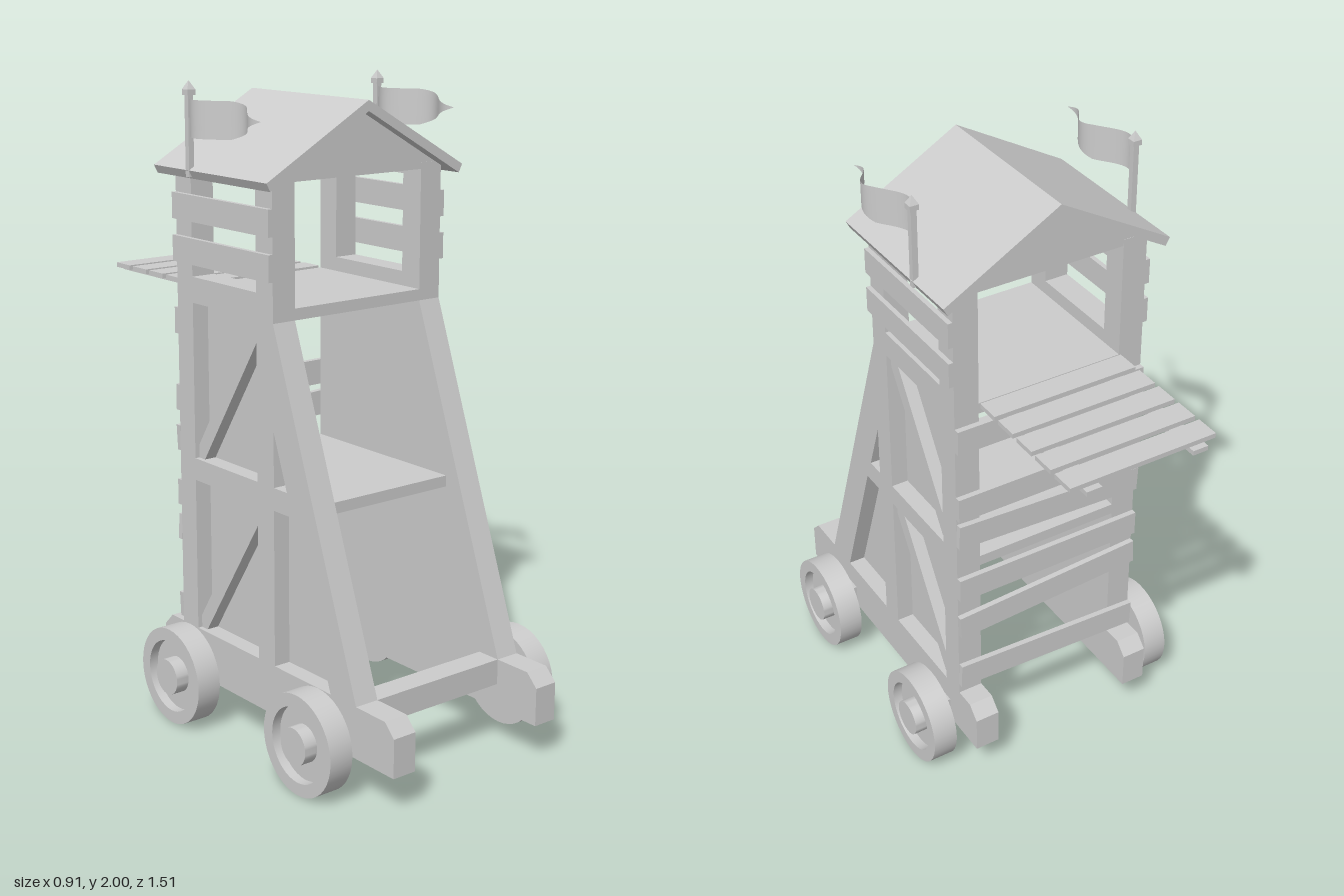
import * as THREE from 'three';
import { toCreasedNormals } from 'three/addons/utils/BufferGeometryUtils.js';

export function createModel() {
  const root = new THREE.Group();
  const mat = new THREE.MeshStandardMaterial({ color: 0xcccccc });
  const thinMat = new THREE.MeshStandardMaterial({ color: 0xcccccc, side: THREE.DoubleSide });

  const add = (name, geo, material = mat) => {
    const mesh = new THREE.Mesh(geo, material);
    mesh.name = name;
    root.add(mesh);
    return mesh;
  };
  // Box given by its limits on each axis
  const box = (name, x0, x1, y0, y1, z0, z1) => {
    const mesh = add(name, new THREE.BoxGeometry(x1 - x0, y1 - y0, z1 - z0));
    mesh.position.set((x0 + x1) / 2, (y0 + y1) / 2, (z0 + z1) / 2);
    return mesh;
  };
  // Outline in (z, y), extruded along x between |x| = a and b on side s;
  // reversed so that outlines and holes run counter-clockwise
  const toPoints = (pts) => pts.map(([z, y]) => new THREE.Vector2(-z, y)).reverse();
  const sidePlate = (name, s, a, b, outline, holes = []) => {
    const shape = new THREE.Shape(toPoints(outline));
    holes.forEach((h) => shape.holes.push(new THREE.Path(toPoints(h))));
    const geo = new THREE.ExtrudeGeometry(shape, { depth: b - a, bevelEnabled: false });
    geo.rotateY(Math.PI / 2);
    geo.translate(s > 0 ? a : -b, 0, 0);
    return add(name, geo);
  };
  // Outline in (x, y), extruded along z
  const crossPlate = (name, z0, z1, outline) => {
    const shape = new THREE.Shape(outline.map(([x, y]) => new THREE.Vector2(x, y)));
    const geo = new THREE.ExtrudeGeometry(shape, { depth: z1 - z0, bevelEnabled: false });
    geo.translate(0, 0, z0);
    return add(name, geo);
  };
  const rect = (z0, z1, y0, y1) => [[z0, y0], [z1, y0], [z1, y1], [z0, y1]];

  // Side wall outline and the lookout's side opening
  const wallOutline = (y) => [
    [-0.27, y], [0.59 + (0.28 - y) * 0.362, y], [0.21, 1.33], [0.21, 1.75], [-0.27, 1.75],
  ];
  const lookoutOpening = rect(-0.19, 0.13, 1.41, 1.71);

  // Wheel profile (radius, distance from inner face): rim, recessed disc, hub
  const wheelProfile = [
    [0, 0], [0.155, 0], [0.155, 0.08], [0.115, 0.08], [0.115, 0.05],
    [0.057, 0.05], [0.057, 0.093], [0, 0.093],
  ].map(([r, d]) => new THREE.Vector2(r, d));

  for (const s of [-1, 1]) {
    const sideBox = (name, a, b, ...rest) =>
      box(name, Math.min(s * a, s * b), Math.max(s * a, s * b), ...rest);

    // Base rail with chamfered ends
    sidePlate('baseRail', s, 0.24, 0.32, [
      [0.755, 0.12], [0.755, 0.24], [0.715, 0.28], [-0.335, 0.28], [-0.375, 0.24], [-0.375, 0.12],
    ]);

    // Inner wall, and the timber frame in front of it
    sidePlate('sidePanel', s, 0.24, 0.265, wallOutline(0.28), [lookoutOpening]);
    sidePlate('sideFrame', s, 0.265, 0.32, wallOutline(0.27), [
      rect(-0.19, 0.13, 0.28, 0.77),
      rect(-0.19, 0.13, 0.84, 1.33),
      lookoutOpening,
      [[0.21, 0.28], [0.475, 0.28], [0.3, 0.77], [0.21, 0.77]],
      [[0.21, 0.84], [0.272, 0.84], [0.21, 1.01]],
    ]);

    // Diagonal braces
    for (const y of [0.28, 0.84]) {
      sidePlate('brace', s, 0.25, 0.305, [
        [0.13, y + 0.49], [0.1, y + 0.49], [-0.19, y + 0.04],
        [-0.19, y], [-0.16, y], [0.13, y + 0.445],
      ]);
    }

    // Guard slats on the lookout
    for (const y of [1.45, 1.58]) sideBox('guardSlat', 0.32, 0.335, y, y + 0.08, -0.27, 0.21);

    // Axle stubs and wheels
    for (const z of [0.473, -0.17]) {
      sideBox('axle', 0.3, 0.38, 0.12, 0.2, z - 0.04, z + 0.04);
      const geo = toCreasedNormals(new THREE.LatheGeometry(wheelProfile, 40), 0.6);
      geo.rotateZ(-Math.PI / 2);
      const wheel = add('wheel', geo);
      wheel.position.set(s * 0.364, 0.155, z);
      wheel.rotation.y = s > 0 ? 0 : Math.PI;
    }

    // Bearers under the rear deck
    sideBox('deckBearer', 0.15, 0.2, 1.34, 1.355, -0.76, -0.25);

    // Flag pole with pointed finial
    box('flagPole', s * 0.36 - 0.009, s * 0.36 + 0.009, 1.72, 1.965, -0.144, -0.126);
    const finialProfile = [[0, 0], [0.02, 0], [0.02, 0.016], [0, 0.042]]
      .map(([r, y]) => new THREE.Vector2(r, y));
    const finial = add('finial', toCreasedNormals(new THREE.LatheGeometry(finialProfile, 4, Math.PI / 4), 0.3));
    finial.position.set(s * 0.36, 1.958, -0.135);

    // Waving pennant that tapers to a point
    const flagGeo = new THREE.PlaneGeometry(1, 1, 40, 4);
    const p = flagGeo.attributes.position;
    for (let i = 0; i < p.count; i++) {
      const u = p.getX(i) + 0.5, v = p.getY(i) + 0.5;
      const z = -0.13 + 0.38 * u;
      const t = Math.max(0, (z - 0.04) / 0.21);
      const top = 1.95 - 0.04 * t ** 1.2;
      const bottom = 1.84 + 0.07 * t;
      const wave = -0.034 * Math.sin((2 * Math.PI * (z + 0.13)) / 0.28);
      p.setXYZ(i, s * 0.36 + wave, bottom + (top - bottom) * v, z);
    }
    flagGeo.computeVertexNormals();
    add('flag', flagGeo, thinMat);
  }

  // Front cross beam and floors
  box('crossBeam', -0.24, 0.24, 0.2, 0.28, 0.51, 0.59);
  box('middleFloor', -0.24, 0.24, 0.77, 0.805, -0.27, 0.345);
  box('upperFloor', -0.24, 0.24, 1.33, 1.365, -0.27, 0.21);

  // Rear slats: centre height and tilt
  for (const [y, tilt] of [[1.262, 0], [1.018, 0], [0.902, 0.045], [0.71, 0], [0.578, -0.055], [0.347, 0.04]]) {
    box('rearSlat', -0.32, 0.32, y - 0.041, y + 0.041, -0.288, -0.27).rotation.z = tilt;
  }

  // Rear deck planks
  for (let i = 0; i < 5; i++) {
    const z = -0.74 + i * 0.096;
    box('deckPlank', -0.24, 0.24, 1.355, 1.37, z, z + 0.077);
  }

  // Gables and roof
  for (const z of [-0.27, 0.13]) {
    crossPlate('gable', z + 0.001, z + 0.079,
      [[-0.31, 1.73], [0.31, 1.73], [0.31, 1.755], [0, 1.93], [-0.31, 1.755]]);
  }
  crossPlate('roof', -0.31, 0.25,
    [[0, 1.95], [-0.37, 1.74], [-0.357, 1.715], [0, 1.918], [0.357, 1.715], [0.37, 1.74]]);

  return root;
}
